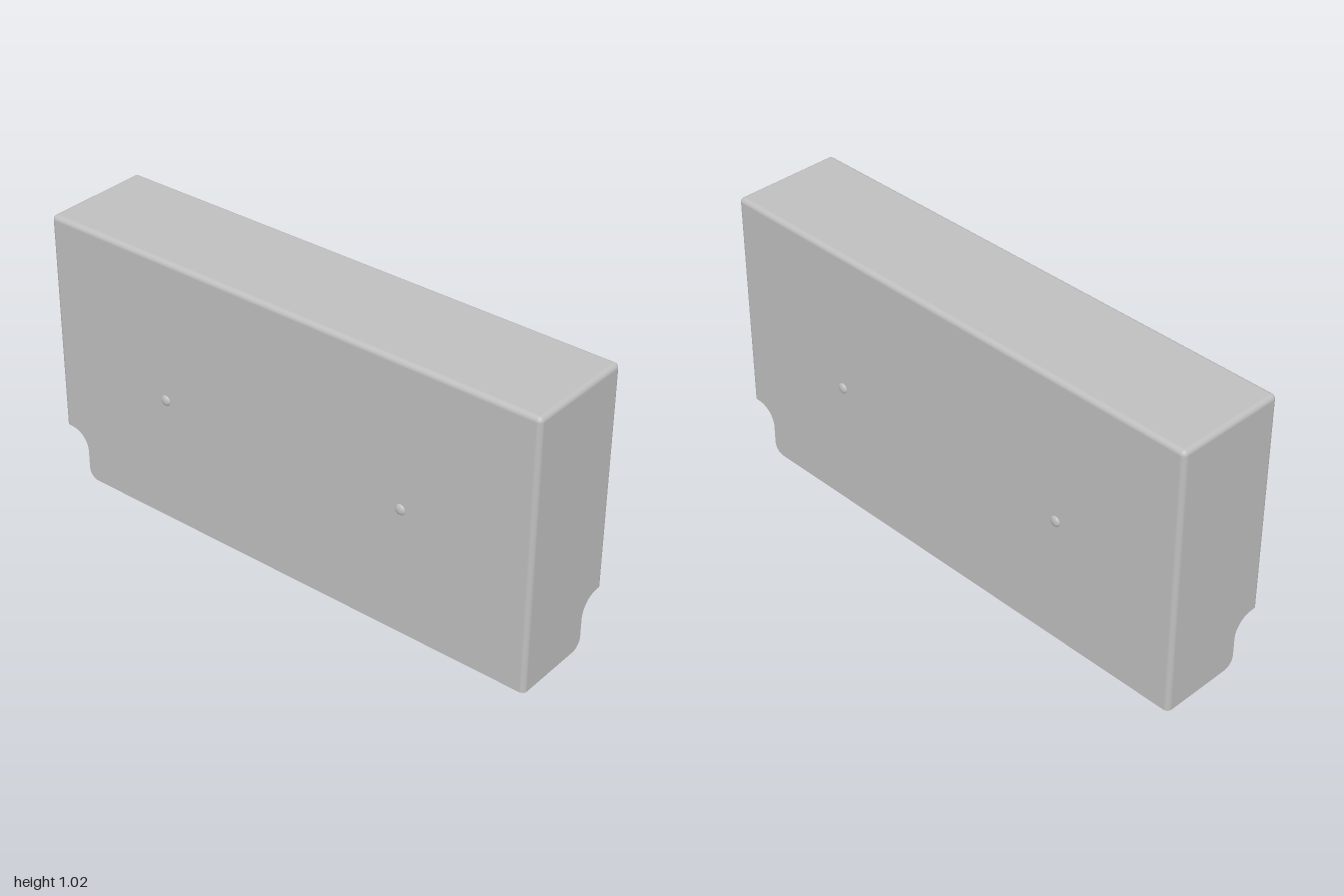
import * as THREE from 'three';
import { toCreasedNormals } from 'three/addons/utils/BufferGeometryUtils.js';

const W = 1, D = 0.208, H = 1.02; // half width, half depth, height
const R = 0.018, T = 0.022;       // outer edge radius, wall thickness

// Outline of the cable notch on one wall: [distance from corner, bottom height]
function notchProfile() {
  const pts = [];
  for (let i = 0; i <= 8; i++) {
    const a = (i / 8) * Math.PI / 2;
    pts.push([0.145 - 0.04 * Math.sin(a), 0.04 - 0.04 * Math.cos(a)]);
  }
  for (let i = 0; i <= 12; i++) {
    const a = (i / 12) * Math.PI / 2;
    pts.push([0.03 + 0.075 * Math.cos(a), 0.11 + 0.075 * Math.sin(a)]);
  }
  return pts;
}

// Closed outline of the walls: position, outward normal and bottom height
function perimeter() {
  const half = [], notch = notchProfile(), top = 0.185;
  const add = (x, z, nx, nz, h) => half.push({ x, z, nx, nz, h });
  const corner = (sign, from, h) => {
    for (let i = 0; i <= 6; i++) {
      const a = from + (i / 6) * Math.PI / 2, c = Math.cos(a), s = Math.sin(a);
      add(W - R + R * c, sign * (D - R) + R * s, c, s, h);
    }
  };
  notch.forEach(([d, h]) => add(W - d, -D, 0, -1, h));
  corner(-1, -Math.PI / 2, top);
  notch.slice().reverse().forEach(([d, h]) => add(W, -D + d, 1, 0, h));
  corner(1, 0, 0);
  // the second half is the first turned by 180 degrees
  const turned = half.map(p => ({ x: -p.x, z: -p.z, nx: -p.nx, nz: -p.nz, h: p.h }));
  return [...half, ...turned];
}

// Skin between successive closed rings of points
function loft(rings, normals) {
  const n = rings[0].length;
  const geo = new THREE.BufferGeometry();
  const index = [];
  for (let j = 0; j < rings.length - 1; j++) {
    for (let i = 0; i < n; i++) {
      const a = j * n + i, b = j * n + (i + 1) % n;
      index.push(a, a + n, b, b, a + n, b + n);
    }
  }
  geo.setAttribute('position', new THREE.Float32BufferAttribute(rings.flat(2), 3));
  if (normals) geo.setAttribute('normal', new THREE.Float32BufferAttribute(normals.flat(2), 3));
  geo.setIndex(index);
  return normals ? geo : toCreasedNormals(geo, 0.5);
}

export function createModel() {
  const group = new THREE.Group();
  const grey = new THREE.MeshStandardMaterial({ color: 0xbfbfbf });
  grey.name = 'light grey';
  const add = (name, geo) => {
    const mesh = new THREE.Mesh(geo, grey);
    mesh.name = name;
    group.add(mesh);
    return mesh;
  };

  const path = perimeter();
  const clamp = THREE.MathUtils.clamp;
  const inner = (p, y) => [clamp(p.x, T - W, W - T), y, clamp(p.z, T - D, D - T)];

  // Outer walls, ending in the rounded top edge
  const rings = [path.map(p => [p.x, p.h, p.z])];
  const normals = [path.map(p => [p.nx, 0, p.nz])];
  for (let k = 0; k <= 6; k++) {
    const c = Math.cos(k / 6 * Math.PI / 2), s = Math.sin(k / 6 * Math.PI / 2);
    rings.push(path.map(p => [p.x - p.nx * R * (1 - c), H - R + R * s, p.z - p.nz * R * (1 - c)]));
    normals.push(path.map(p => [p.nx * c, s, p.nz * c]));
  }
  add('outerWalls', loft(rings, normals));

  // Top panel and the ceiling beneath it
  const panel = add('topPanel', new THREE.PlaneGeometry(2 * (W - R), 2 * (D - R)));
  panel.rotation.x = -Math.PI / 2;
  panel.position.y = H;
  const ceiling = add('ceiling', new THREE.PlaneGeometry(2 * (W - T), 2 * (D - T)));
  ceiling.rotation.x = Math.PI / 2;
  ceiling.position.y = H - T;

  // Inside of the walls and the cut edge running round the open bottom
  add('innerWalls', loft([path.map(p => inner(p, H - T)), path.map(p => inner(p, p.h))]));
  add('bottomRim', loft([path.map(p => inner(p, p.h)), path.map(p => [p.x, p.h, p.z])]));

  // Small domed studs on front and back
  const dome = new THREE.SphereGeometry(0.02, 20, 8, 0, Math.PI * 2, 0, Math.PI / 2);
  dome.scale(1, 0.5, 1);
  for (const x of [-0.5, 0.5]) {
    for (const side of [-1, 1]) {
      const stud = add(side > 0 ? 'frontStud' : 'backStud', dome);
      stud.position.set(x, 0.482, side * D);
      stud.rotation.x = side * Math.PI / 2;
    }
  }
  return group;
}
